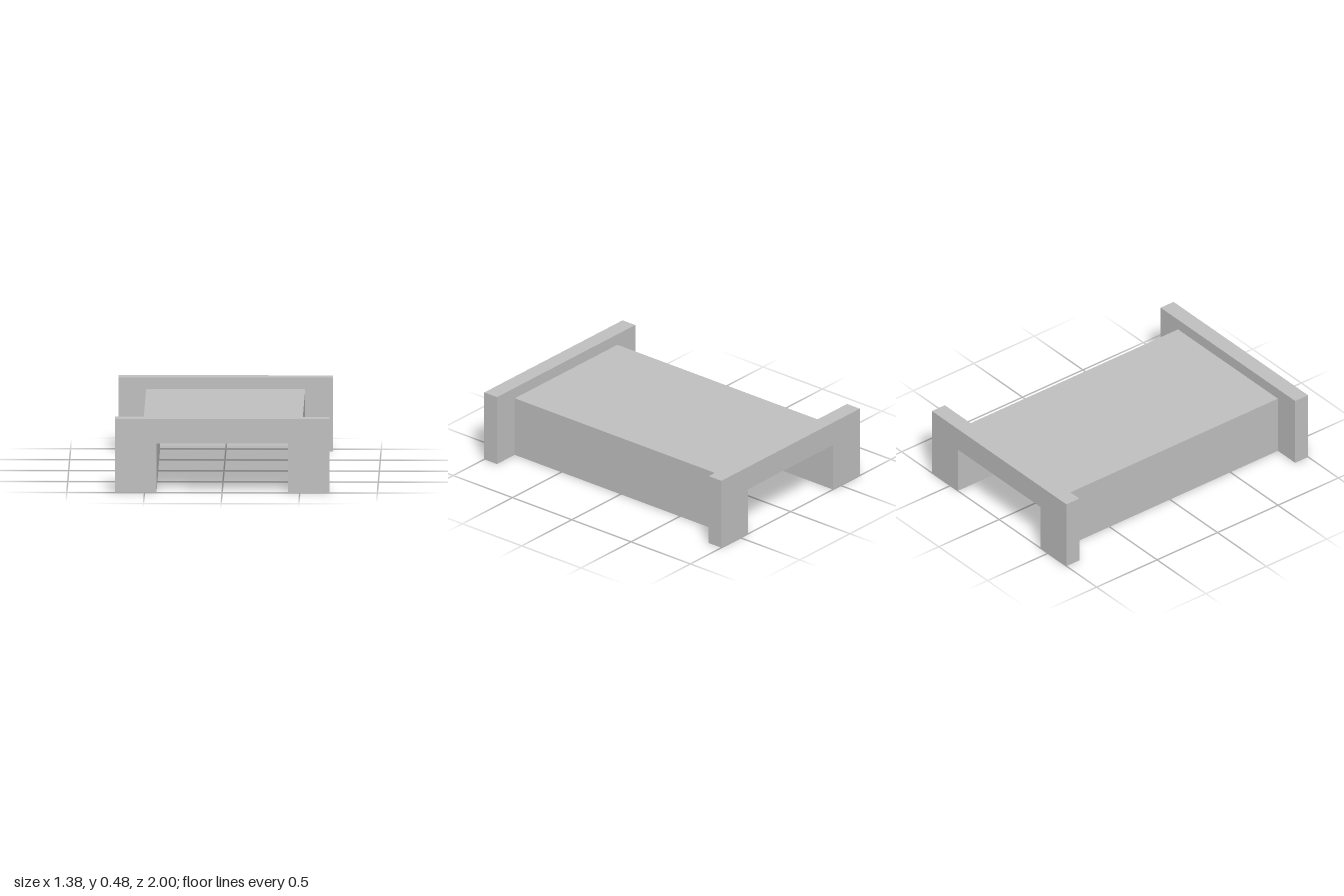
import * as THREE from 'three';

const HALF_LENGTH = 1;
const WALL_DEPTH = 0.107;
const OPENING = { halfWidth: 0.423, height: 0.32 };

// Upside-down U section, open at the ground, extruded along z from zStart
function portal(name, halfWidth, height, zStart, depth, material) {
  const { halfWidth: w, height: h } = OPENING;
  const section = new THREE.Shape([
    [-halfWidth, 0], [-w, 0], [-w, h], [w, h],
    [w, 0], [halfWidth, 0], [halfWidth, height], [-halfWidth, height],
  ].map(([x, y]) => new THREE.Vector2(x, y)));
  const geometry = new THREE.ExtrudeGeometry(section, { depth, bevelEnabled: false });
  geometry.translate(0, 0, zStart);
  const mesh = new THREE.Mesh(geometry, material);
  mesh.name = name;
  return mesh;
}

export function createModel() {
  const group = new THREE.Group();
  group.name = 'boxCulvert';
  const concrete = new THREE.MeshStandardMaterial({ color: 0xc0c0c0 });
  concrete.name = 'concreteGrey';

  // Long channel between the two end walls
  const inner = HALF_LENGTH - WALL_DEPTH;
  group.add(portal('channel', 0.512, 0.405, -inner, 2 * inner, concrete));

  // Wider, taller headwalls at both ends
  group.add(portal('frontHeadwall', 0.69, 0.48, inner, WALL_DEPTH, concrete));
  group.add(portal('backHeadwall', 0.69, 0.48, -HALF_LENGTH, WALL_DEPTH, concrete));

  return group;
}
